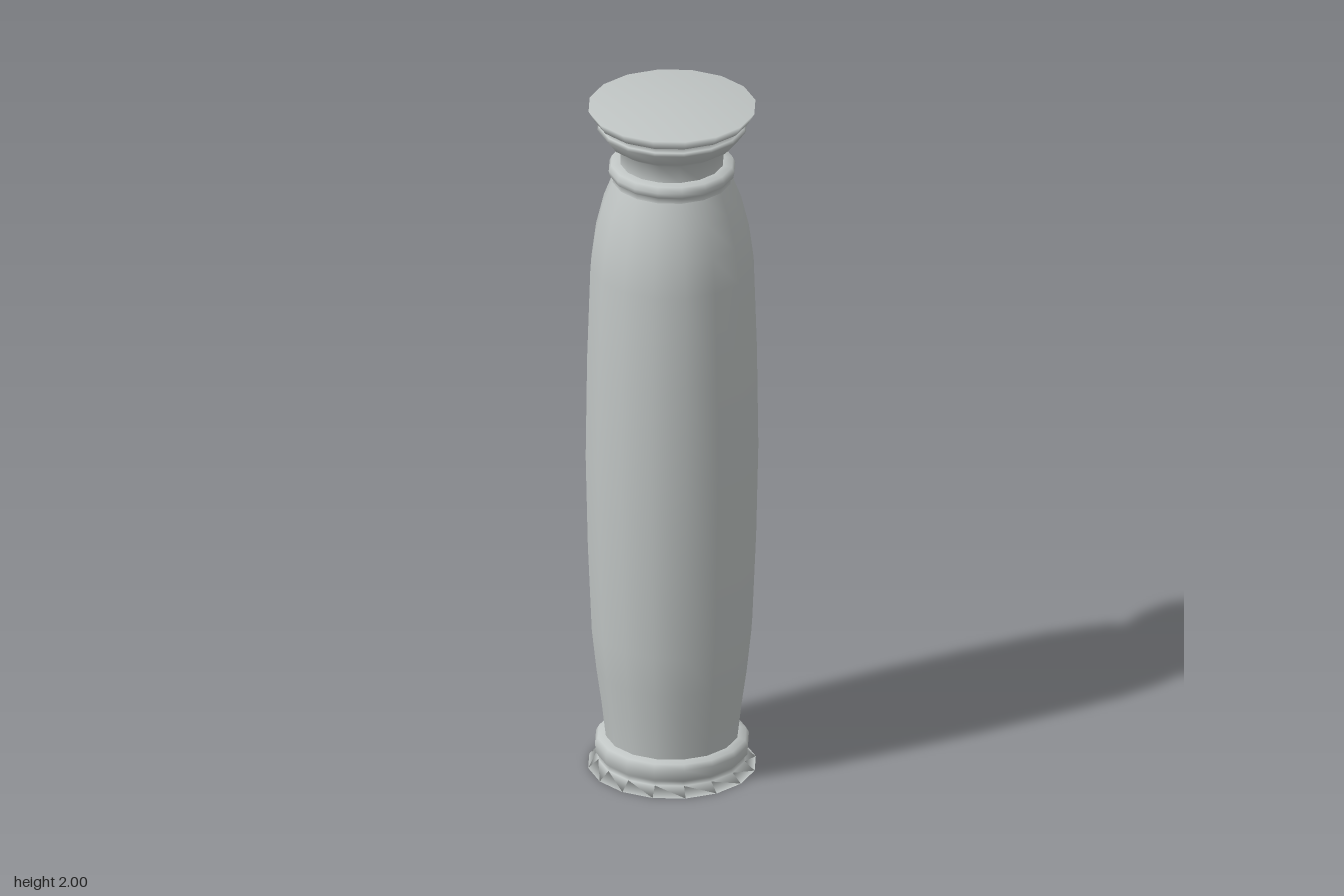
import * as THREE from 'three';

const stone = new THREE.MeshStandardMaterial({ color: 0xc0c5c4 });
stone.name = 'pale grey stone';

// Turns a [radius, height] profile, listed bottom to top, into a 16-sided part
function turned(name, profile) {
  const points = profile.map(([r, y]) => new THREE.Vector2(r, y));
  const mesh = new THREE.Mesh(new THREE.LatheGeometry(points, 16), stone);
  mesh.name = name;
  return mesh;
}

export function createModel() {
  const column = new THREE.Group();
  column.name = 'column';

  // Closed foot with a flared lip and a raised band
  column.add(turned('base', [
    [0, 0], [0.233, 0], [0.205, 0.025], [0.2, 0.036], [0.212, 0.046],
    [0.214, 0.075], [0.206, 0.09], [0.184, 0.095],
  ]));

  // Swelling shaft
  column.add(turned('shaft', [
    [0.184, 0.095], [0.196, 0.2], [0.21, 0.3], [0.223, 0.42], [0.234, 0.68],
    [0.24, 0.95], [0.236, 1.25], [0.227, 1.52], [0.214, 1.62],
    [0.192, 1.71], [0.165, 1.78],
  ]));

  // Collar ring below the neck
  column.add(turned('collar', [
    [0.165, 1.78], [0.163, 1.793], [0.173, 1.8], [0.176, 1.815],
    [0.169, 1.831], [0.143, 1.833],
  ]));

  // Neck, flared moulding and closed top slab
  column.add(turned('capital', [
    [0.143, 1.833], [0.143, 1.882], [0.18, 1.905], [0.208, 1.943],
    [0.203, 1.952], [0.178, 1.961], [0.215, 1.97], [0.232, 2], [0, 2],
  ]));

  return column;
}
